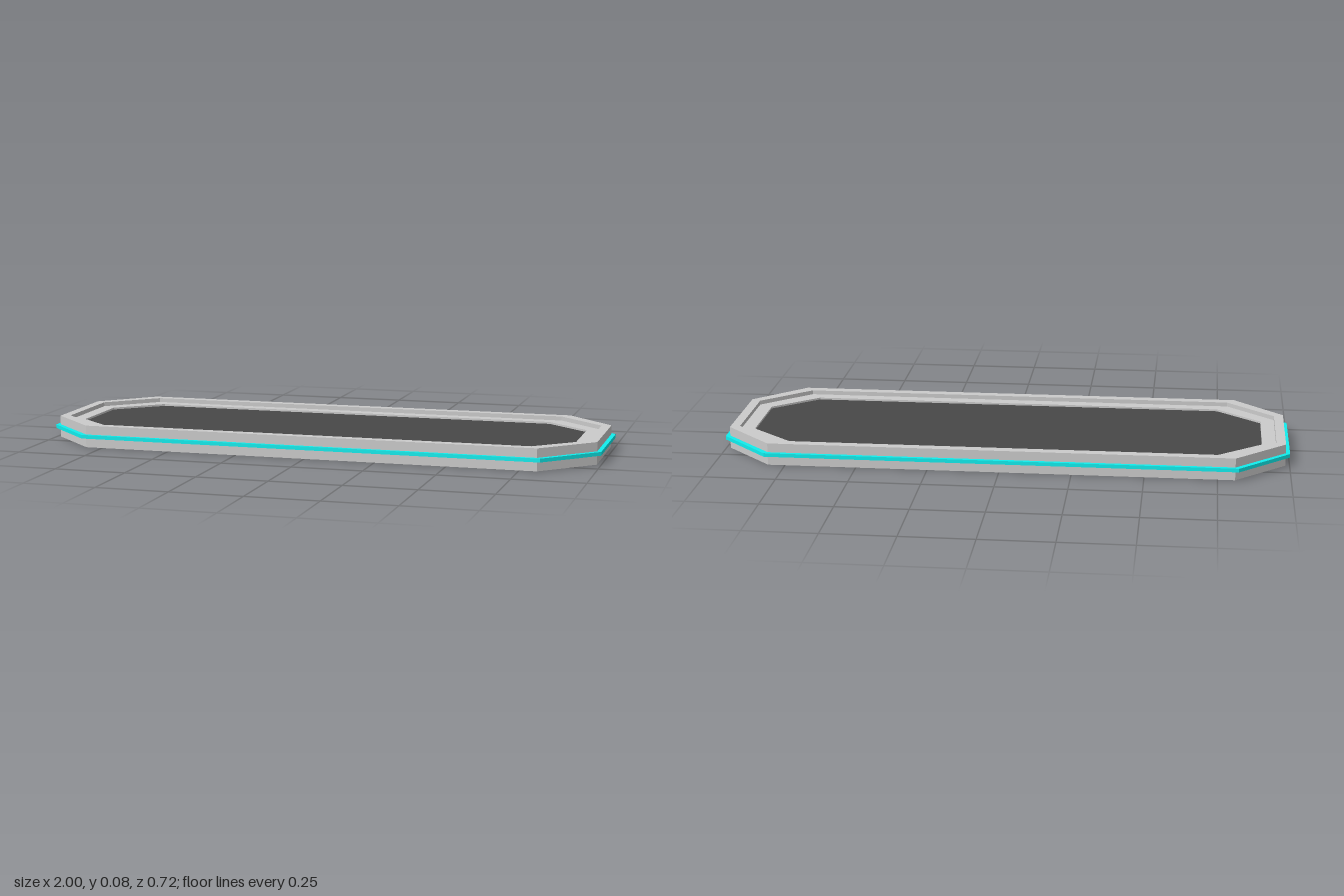
import * as THREE from 'three';

// Octagon outline: half length, half depth, and where the corner cuts begin
function octagon(PathType, [hx, hz, cx, cz]) {
  const path = new PathType();
  path.setFromPoints([
    [hx, -cz], [hx, cz], [cx, hz], [-cx, hz],
    [-hx, cz], [-hx, -cz], [-cx, -hz], [cx, -hz],
  ].map(([x, y]) => new THREE.Vector2(x, y)));
  path.closePath();
  return path;
}

// Flat slab or ring lying between two heights
function slab(name, material, outer, inner, y0, y1) {
  const shape = octagon(THREE.Shape, outer);
  if (inner) shape.holes.push(octagon(THREE.Path, inner));
  const geometry = new THREE.ExtrudeGeometry(shape, { depth: y1 - y0, bevelEnabled: false });
  geometry.rotateX(-Math.PI / 2).translate(0, y0, 0);
  const mesh = new THREE.Mesh(geometry, material);
  mesh.name = name;
  return mesh;
}

export function createModel() {
  const model = new THREE.Group();
  model.name = 'octagonalPanel';
  const grey = new THREE.MeshStandardMaterial({ color: 0xcccccc });
  const dark = new THREE.MeshStandardMaterial({ color: 0x484848 });
  const cyan = new THREE.MeshStandardMaterial({ color: 0x11eeee });

  const band = [1, 0.361, 0.822, 0.181];
  const rim = [0.985, 0.348, 0.81, 0.174];
  const step = [0.952, 0.314, 0.784, 0.158];
  const opening = [0.903, 0.271, 0.747, 0.136];

  model.add(
    // Outer frame, its recessed inner step, the filling panel and the trim
    slab('outerFrame', grey, rim, step, 0, 0.078),
    slab('innerStep', grey, step, opening, 0.015, 0.063),
    slab('centrePanel', dark, opening, null, 0.022, 0.056),
    slab('trimBand', cyan, band, rim, 0.033, 0.046),
  );
  return model;
}
